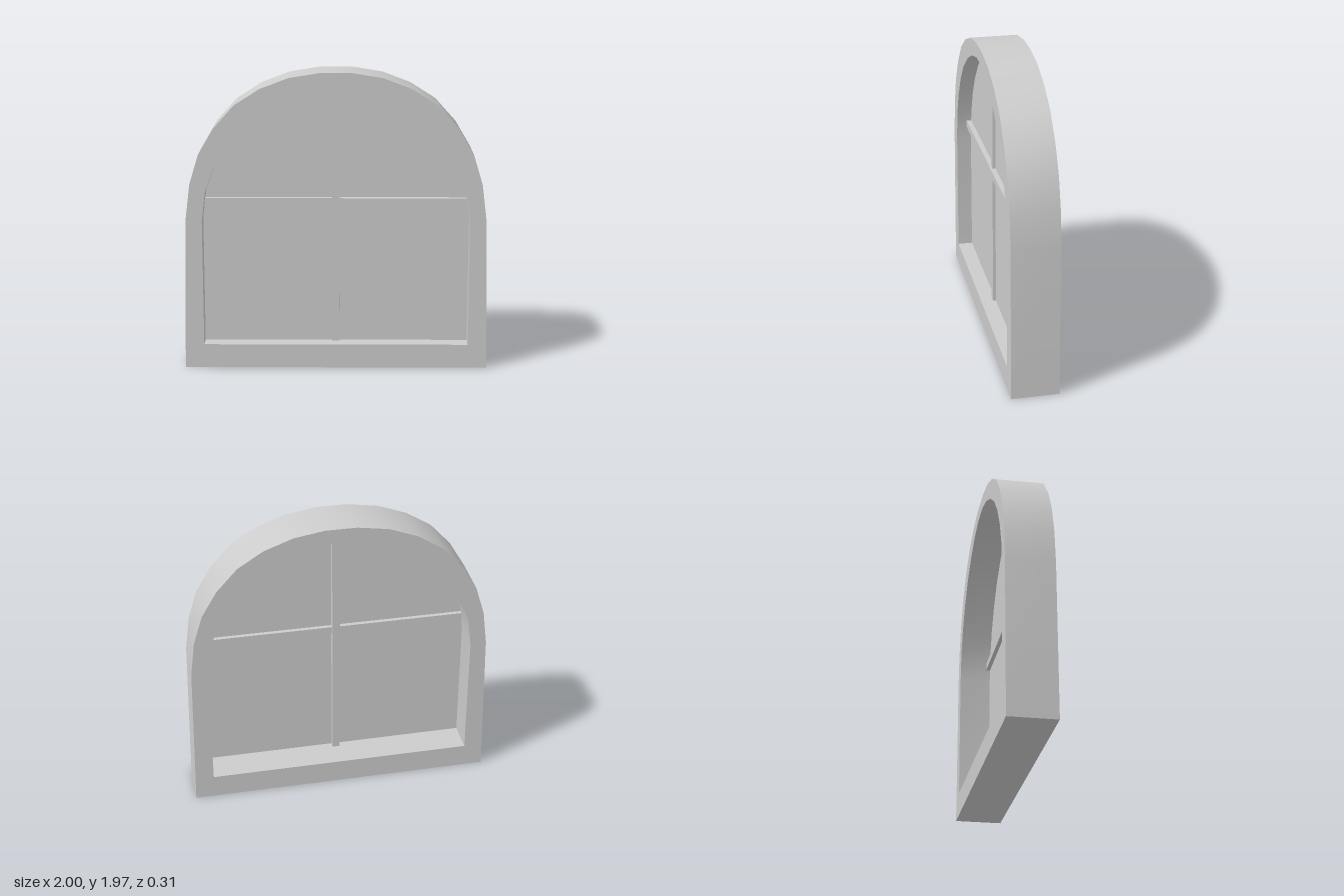
import * as THREE from 'three';
import { toCreasedNormals } from 'three/addons/utils/BufferGeometryUtils.js';

// Right halves of the arch outlines, from the base up to the crown
const OUTER = [[1, 0], [0.975, 1.01], [0.945, 1.245], [0.885, 1.44], [0.785, 1.61],
  [0.65, 1.76], [0.485, 1.865], [0.3, 1.935], [0.1, 1.967]];
const INNER = [[0.873, 0.16], [0.87, 1.0], [0.845, 1.2], [0.785, 1.36], [0.69, 1.515],
  [0.565, 1.65], [0.415, 1.755], [0.255, 1.83], [0.09, 1.872]];

const DEPTH = 0.31;
const GLASS_Z = 0.055;

// Mirror a half outline across x = 0 into a closed loop
function arch(half) {
  const mirrored = half.map(([x, y]) => [-x, y]).reverse();
  return [...half, ...mirrored].map(([x, y]) => new THREE.Vector2(x, y));
}

export function createModel() {
  const group = new THREE.Group();
  const frameMat = new THREE.MeshStandardMaterial({ color: 0xcccccc });
  const glassMat = new THREE.MeshStandardMaterial({ color: 0xf9f9f9, side: THREE.DoubleSide });

  function add(name, geometry, material = frameMat) {
    const mesh = new THREE.Mesh(geometry, material);
    mesh.name = name;
    group.add(mesh);
    return mesh;
  }

  // Arched frame with its opening
  const frameShape = new THREE.Shape(arch(OUTER));
  frameShape.holes.push(new THREE.Path(arch(INNER)));
  const frameGeo = new THREE.ExtrudeGeometry(frameShape, { depth: DEPTH, bevelEnabled: false });
  frameGeo.translate(0, 0, -DEPTH / 2);
  add('frame', toCreasedNormals(frameGeo, 0.6));

  // Single glass sheet, set forward of the middle
  const glass = add('glassPane', new THREE.ShapeGeometry(new THREE.Shape(arch(INNER))), glassMat);
  glass.position.z = GLASS_Z;

  // Glazing bars: the horizontal one stands proud in front, the vertical one behind
  const vertical = add('verticalBar', new THREE.BoxGeometry(0.05, 1.73, 0.06));
  vertical.position.set(0, 1.015, 0.045);
  const horizontal = add('horizontalBar', new THREE.BoxGeometry(1.72, 0.05, 0.06));
  horizontal.position.set(0, 1.115, 0.058);

  return group;
}
